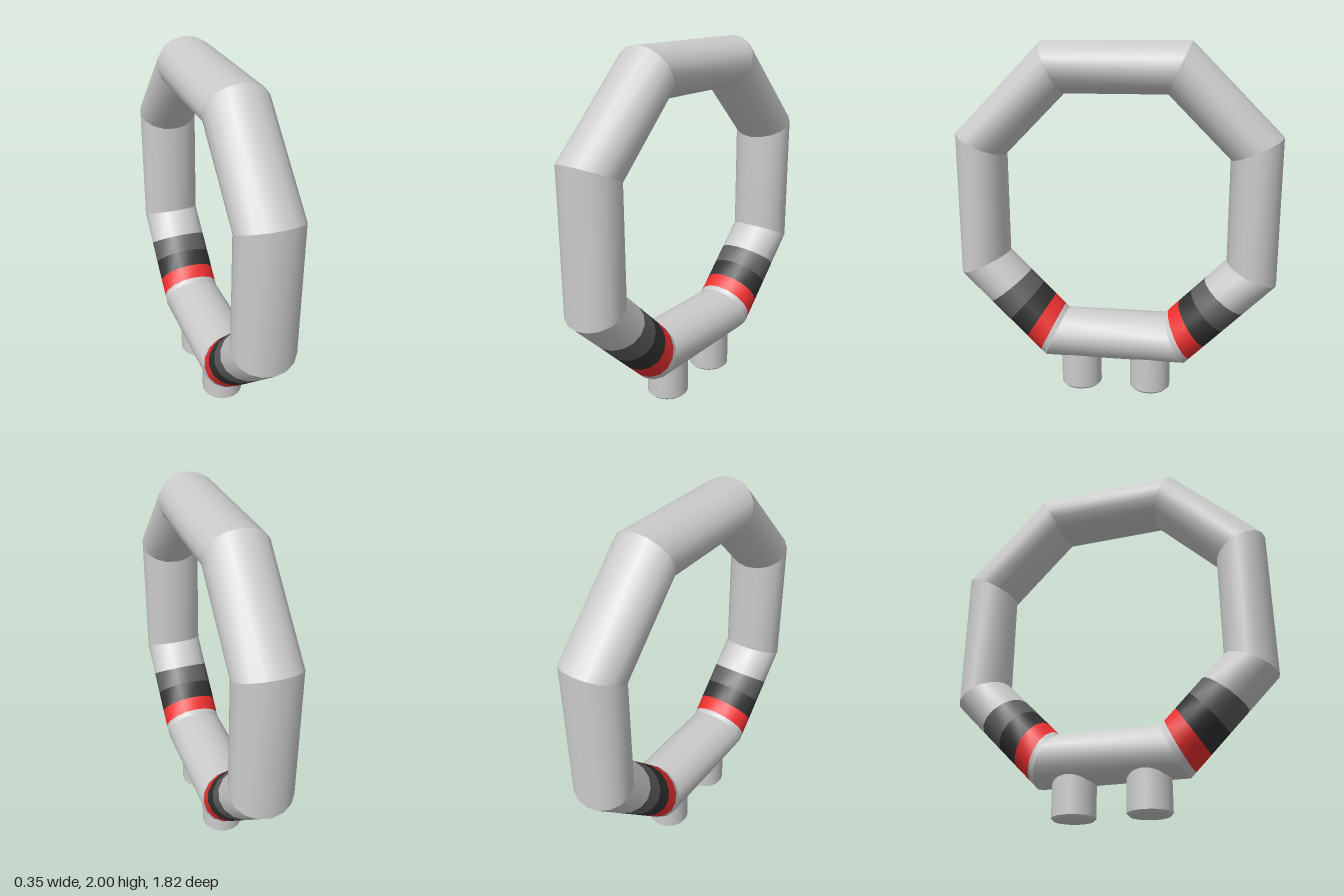
import * as THREE from 'three';

const CENTRE_Y = 1.09;
const SIDES = 16;          // facets around the tube
const HALF_WIDTH = 0.173;  // tube half size along x
const HALF_DEPTH = 0.14;   // tube half size across the ring
const MID = 0.77;          // ring centre line
const K = 0.454;

// octagon corners as (z, y) directions
const CORNERS = [
  [1, K], [K, 1], [-K, 1], [-1, K], [-1, -K], [-K, -1], [K, -1], [1, -K],
];

const material = (color) => new THREE.MeshStandardMaterial({ color });
const grey = material(0xcccccc);
const darkGrey = material(0x606060);
const charcoal = material(0x333333);
const red = material(0xf03030);

// mitred tube between two corners, cut from fraction t0 to t1
function sleeve(a, b, t0, t1) {
  const positions = [];
  const index = [];
  for (const t of [t0, t1]) {
    const z = a[0] + (b[0] - a[0]) * t;
    const y = a[1] + (b[1] - a[1]) * t;
    for (let j = 0; j < SIDES; j++) {
      const angle = (j / SIDES) * Math.PI * 2;
      const d = MID + HALF_DEPTH * Math.sin(angle);
      positions.push(HALF_WIDTH * Math.cos(angle), CENTRE_Y + y * d, z * d);
    }
  }
  for (let j = 0; j < SIDES; j++) {
    const n = (j + 1) % SIDES;
    index.push(j, j + SIDES, n, n, j + SIDES, n + SIDES);
  }
  const geometry = new THREE.BufferGeometry();
  geometry.setAttribute('position', new THREE.Float32BufferAttribute(positions, 3));
  geometry.setIndex(index);
  geometry.computeVertexNormals();
  return geometry;
}

export function createModel() {
  const model = new THREE.Group();
  model.name = 'octagonalRing';

  const add = (name, geometry, mat, parent = model) => {
    const mesh = new THREE.Mesh(geometry, mat);
    mesh.name = name;
    parent.add(mesh);
    return mesh;
  };

  // bands along a lower diagonal, from its upper corner down
  const bands = [
    ['upperSleeve', 0, 0.345, grey],
    ['darkGreyBand', 0.345, 0.565, darkGrey],
    ['charcoalBand', 0.565, 0.77, charcoal],
    ['redBand', 0.77, 0.94, red],
    ['lowerSleeve', 0.94, 1, grey],
  ];

  // eight ring segments, the two lower diagonals being banded
  CORNERS.forEach((a, i) => {
    const b = CORNERS[(i + 1) % 8];
    if (i === 4 || i === 6) {
      const side = new THREE.Group();
      side.name = i === 4 ? 'backBandedSegment' : 'frontBandedSegment';
      for (const [name, t0, t1, mat] of bands) {
        const geometry = i === 4 ? sleeve(a, b, t0, t1) : sleeve(a, b, 1 - t1, 1 - t0);
        add(name, geometry, mat, side);
      }
      model.add(side);
    } else {
      add('ringSegment', sleeve(a, b, 0, 1), grey);
    }
  });

  // two round feet with a slightly bevelled lower rim
  const footProfile = [[0, 0], [0.105, 0], [0.105, 0], [0.118, 0.013], [0.118, 0.013], [0.118, 0.28], [0.118, 0.28], [0, 0.28]]
    .map(([r, y]) => new THREE.Vector2(r, y));
  const footGeometry = new THREE.LatheGeometry(footProfile, 32);
  for (const s of [1, -1]) {
    add(s > 0 ? 'frontFoot' : 'backFoot', footGeometry, grey).position.z = s * 0.205;
  }

  return model;
}
